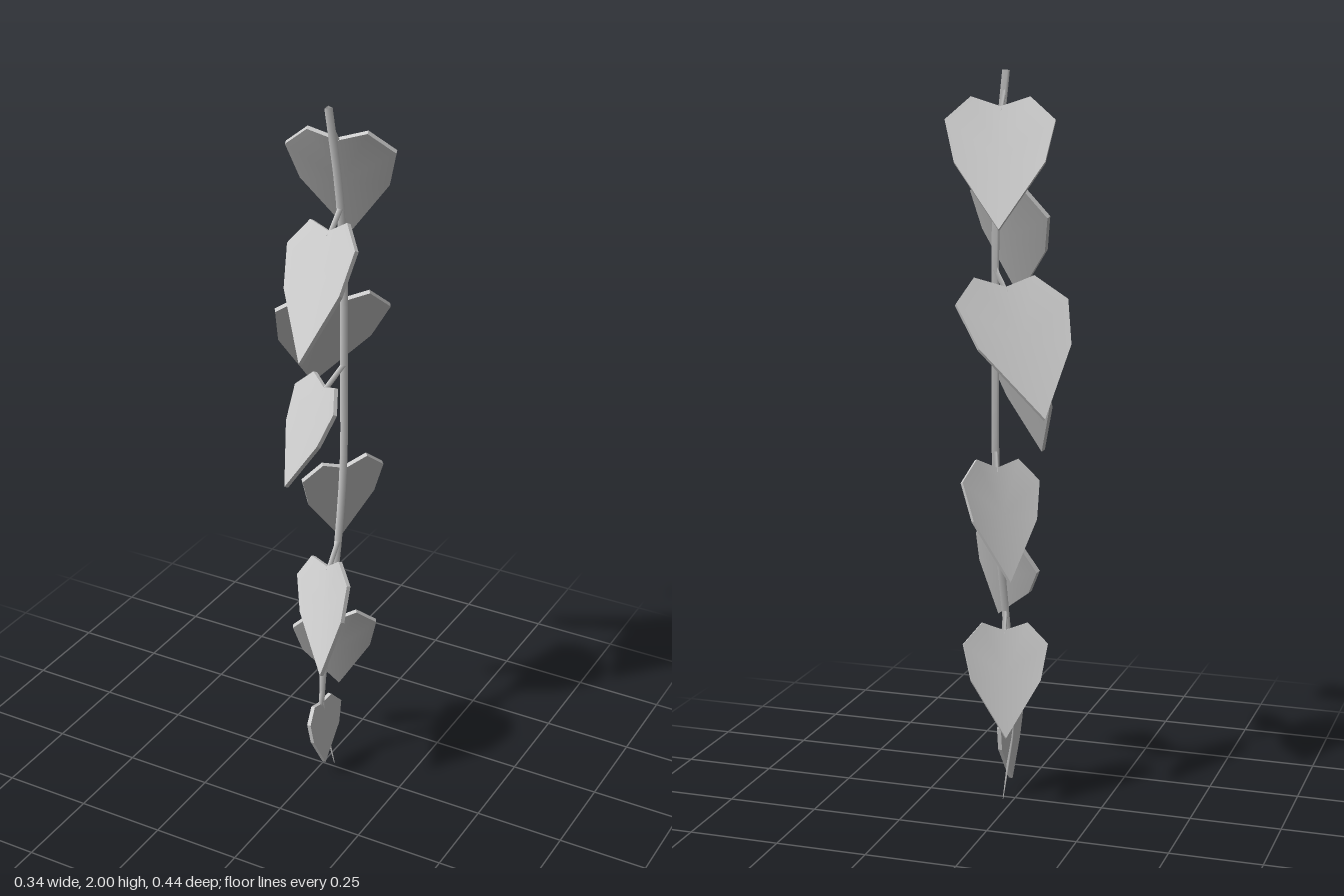
import * as THREE from 'three';

const V = (a) => new THREE.Vector3(...a);
const material = new THREE.MeshStandardMaterial({ color: 0xcccccc, side: THREE.DoubleSide });

// Main stem, from the top down
const stemPath = new THREE.CatmullRomCurve3([
  [0.035, 2, 0.037], [0.045, 1.78, 0.0], [0.043, 1.56, -0.03], [0.04, 1.25, -0.042], [0.04, 0.98, -0.042],
  [0.042, 0.73, -0.005], [0.03, 0.44, 0.035], [0.015, 0.23, 0.032], [0.03, 0, -0.016],
].map(V));

// Each leaf: notch, tip, and the full width vector across the lobes
const leaves = [
  [[0.035, 1.905, -0.012], [-0.01, 1.6, -0.168], [-0.28, 0, 0.07]],
  [[0.045, 1.68, 0.045], [0.055, 1.385, 0.22], [0.25, 0.06, 0.1]],
  [[0.005, 1.44, -0.065], [-0.145, 1.12, -0.203], [-0.25, 0, 0.18]],
  [[0.02, 1.23, 0.025], [-0.04, 0.967, 0.132], [0.19, 0.01, 0.135]],
  [[0.03, 0.955, -0.07], [-0.04, 0.67, -0.17], [-0.16, -0.02, 0.17]],
  [[0.05, 0.71, 0.06], [0.115, 0.467, 0.218], [0.21, 0.075, 0.1]],
  [[0.025, 0.49, -0.02], [-0.01, 0.215, -0.115], [-0.203, -0.015, 0.12]],
  [[0.012, 0.235, 0.04], [0.028, 0.04, 0.043], [0.015, 0, -0.155]],
];

// Heart outline as [across, along], counter-clockwise from the notch
const half = [[-0.27, -0.07], [-0.5, 0.13], [-0.41, 0.47]];
const outline = [[0, 0], ...half, [0, 1], ...half.map(([w, t]) => [-w, t]).reverse()];

// Thin, slightly cupped heart with a crease down the middle
function leafGeometry(notch, tip, width) {
  const along = tip.clone().sub(notch);
  const normal = width.clone().cross(along).negate().normalize();
  const at = ([w, t], depth) => notch.clone().addScaledVector(width, w).addScaledVector(along, t)
    .addScaledVector(normal, 0.03 * Math.abs(w) + depth);
  const points = [], index = [], n = outline.length;
  for (const depth of [0.005, -0.007]) {
    const c = points.length;
    points.push(at([0, 0.42], depth), ...outline.map((p) => at(p, depth)));
    for (let i = 0; i < n; i++) {
      const a = c + 1 + i, b = c + 1 + (i + 1) % n;
      index.push(c, ...(depth > 0 ? [a, b] : [b, a]));
    }
  }
  // Rim with its own corners so the edge stays sharp
  for (let i = 0; i < n; i++) {
    const p = outline[i], q = outline[(i + 1) % n], s = points.length;
    points.push(at(p, 0.005), at(q, 0.005), at(p, -0.007), at(q, -0.007));
    index.push(s, s + 2, s + 1, s + 1, s + 2, s + 3);
  }
  const geometry = new THREE.BufferGeometry().setFromPoints(points);
  geometry.setIndex(index);
  geometry.computeVertexNormals();
  return geometry;
}

// Point on the stem at a given height
function stemAt(y) {
  let lo = 0, hi = 1;
  for (let i = 0; i < 24; i++) {
    const mid = (lo + hi) / 2;
    if (stemPath.getPoint(mid).y > y) lo = mid; else hi = mid;
  }
  return stemPath.getPoint(lo);
}

function add(group, name, geometry) {
  const mesh = new THREE.Mesh(geometry, material);
  mesh.name = name;
  group.add(mesh);
}

export function createModel() {
  const group = new THREE.Group();
  group.name = 'hangingVine';

  // Three-sided stem narrowing to a point at the bottom
  const rings = 24, sides = 3;
  const stem = new THREE.TubeGeometry(stemPath, rings, 0.012, sides, false);
  const pos = stem.attributes.position, v = new THREE.Vector3();
  for (let i = 0; i <= rings; i++) {
    const centre = stemPath.getPointAt(i / rings);
    const scale = Math.min(1, 0.1 + (1 - i / rings) * 5);
    for (let j = 0; j <= sides; j++) {
      const k = i * (sides + 1) + j;
      v.fromBufferAttribute(pos, k).sub(centre).multiplyScalar(scale).add(centre);
      pos.setXYZ(k, v.x, Math.min(2, Math.max(0, v.y)), v.z);
    }
  }
  add(group, 'stem', stem);

  // Leaves, each with a short stalk rising to the stem
  leaves.forEach((data, i) => {
    const [notch, tip, width] = data.map(V);
    const part = new THREE.Group();
    part.name = 'leaf' + (i + 1);
    add(part, 'blade', leafGeometry(notch, tip, width));
    const end = notch.clone().lerp(tip, 0.04);
    const stalkPath = new THREE.LineCurve3(stemAt(notch.y + 0.045), end);
    add(part, 'stalk', new THREE.TubeGeometry(stalkPath, 1, 0.008, 3, false));
    group.add(part);
  });
  return group;
}
